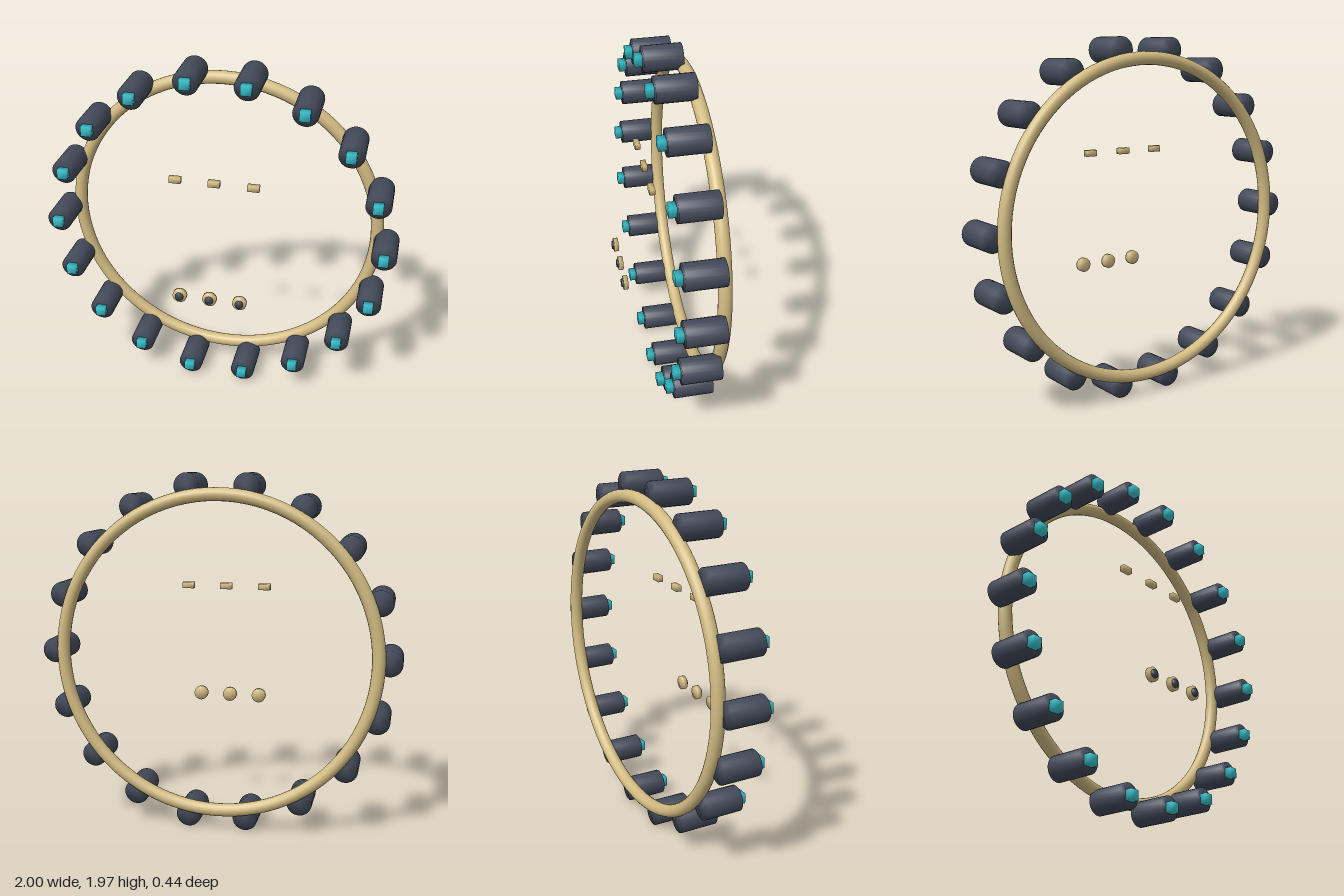
import * as THREE from 'three';
import { mergeVertices } from 'three/addons/utils/BufferGeometryUtils.js';

const CENTER_Y = 0.985;

// Weld a primitive so that its shading is smooth over every edge
function soften(geometry) {
  geometry.deleteAttribute('normal');
  geometry.deleteAttribute('uv');
  const welded = mergeVertices(geometry, 1e-4);
  welded.computeVertexNormals();
  return welded;
}

// Cylinder lying along z
function zCylinder(radius, length, sides) {
  return soften(new THREE.CylinderGeometry(radius, radius, length, sides).rotateX(Math.PI / 2));
}

export function createModel() {
  const model = new THREE.Group();
  const gold = new THREE.MeshStandardMaterial({ name: 'pale gold', color: 0xd2bb82 });
  const slate = new THREE.MeshStandardMaterial({ name: 'dark slate', color: 0x434a59 });
  const teal = new THREE.MeshStandardMaterial({ name: 'teal', color: 0x36c0cc });

  function add(name, geometry, material, x, y, z, parent = model) {
    const mesh = new THREE.Mesh(geometry, material);
    mesh.name = name;
    mesh.position.set(x, y, z);
    parent.add(mesh);
  }

  // Main hoop
  add('ring', new THREE.TorusGeometry(0.874, 0.036, 16, 96), gold, 0, CENTER_Y, -0.186);

  // Eighteen pods around the hoop, each with a small light in front
  const podGeometry = zCylinder(0.07, 0.21, 24);
  const lightGeometry = soften(new THREE.BoxGeometry(0.056, 0.056, 0.042));
  const COUNT = 18;
  for (let i = 0; i < COUNT; i++) {
    const a = (i / COUNT) * Math.PI * 2;
    const pod = new THREE.Group();
    pod.name = 'pod';
    pod.position.set(0.93 * Math.cos(a), CENTER_Y + 0.93 * Math.sin(a), 0);
    add('podBody', podGeometry, slate, 0, 0, -0.073, pod);
    add('podLight', lightGeometry, teal, 0, 0, 0.051, pod);
    model.add(pod);
  }

  // Upper row of small bars
  const barGeometry = soften(new THREE.BoxGeometry(0.066, 0.034, 0.03));
  for (const x of [-0.224, -0.007, 0.21]) add('bar', barGeometry, gold, x, 1.345, 0.053);

  // Lower row of dials with dark centres
  const dialGeometry = zCylinder(0.04, 0.026, 20);
  const knobGeometry = zCylinder(0.024, 0.03, 16);
  for (const x of [-0.172, 0, 0.172]) {
    add('dial', dialGeometry, gold, x, 0.687, 0.196);
    add('dialCentre', knobGeometry, slate, x, 0.687, 0.204);
  }

  return model;
}
